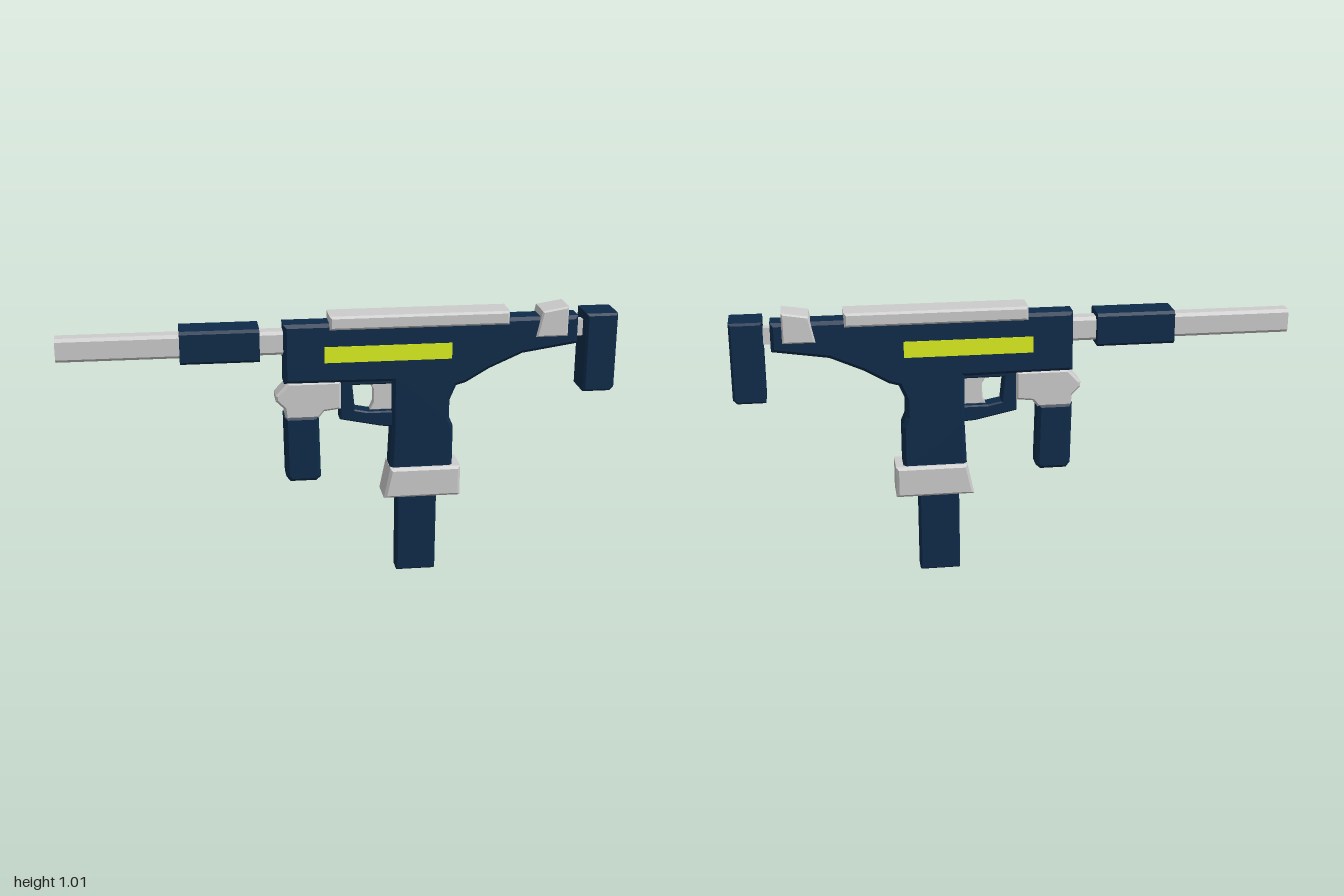
import * as THREE from 'three';

const material = (color) => new THREE.MeshStandardMaterial({ color, flatShading: true });
const toShape = (points) => new THREE.Shape(points.map(([x, y]) => new THREE.Vector2(x, y)));

// Rectangle outline with cut corners
const rect = (x0, x1, y0, y1, c = 0.01) => [
  [x0 + c, y0], [x1 - c, y0], [x1, y0 + c], [x1, y1 - c],
  [x1 - c, y1], [x0 + c, y1], [x0, y1 - c], [x0, y0 + c],
];

export function createModel() {
  const group = new THREE.Group();
  const navy = material(0x0e2b49);
  const grey = material(0xcccccc);
  const lime = material(0xdcf020);

  const add = (name, geometry, mat) => {
    const mesh = new THREE.Mesh(geometry, mat);
    mesh.name = name;
    group.add(mesh);
  };

  // Side outline thickened to z = +-half, with chamfered rims
  const plate = (name, points, half, mat, bevel = 0.01, hole) => {
    const shape = toShape(points);
    if (hole) shape.holes.push(toShape(hole));
    const geometry = new THREE.ExtrudeGeometry(shape, {
      depth: 2 * (half - bevel), bevelEnabled: bevel > 0, bevelSegments: 1,
      bevelSize: bevel, bevelThickness: bevel, bevelOffset: -bevel,
    });
    add(name, geometry.translate(0, 0, bevel - half), mat);
  };

  // Cut-corner tube running along x
  const sleeve = (name, x0, x1, y0, y1, half, wall, cut, mat) => {
    const shape = toShape(rect(-half, half, y0, y1, cut));
    if (wall) shape.holes.push(toShape(rect(wall - half, half - wall, y0 + wall, y1 - wall, cut * 0.7)));
    const geometry = new THREE.ExtrudeGeometry(shape, { depth: x1 - x0, bevelEnabled: false });
    add(name, geometry.rotateY(Math.PI / 2).translate(x0, 0, 0), mat);
  };

  // Barrel assembly
  sleeve('barrel', -1, -0.19, 0.86, 0.946, 0.033, 0.008, 0.011, grey);
  sleeve('barrelCore', -0.88, -0.19, 0.866, 0.94, 0.027, 0, 0.008, navy);
  sleeve('barrelSleeve', -0.57, -0.29, 0.845, 0.965, 0.063, 0, 0.01, navy);

  // Receiver with rear arm and main grip in one outline
  plate('body', [
    [-0.205, 0.755], [0.185, 0.75], [0.187, 0.57], [0.18, 0.4], [0.412, 0.4],
    [0.412, 0.57], [0.397, 0.605], [0.397, 0.67], [0.42, 0.725], [0.455, 0.735],
    [0.54, 0.785], [0.66, 0.838], [0.86, 0.868], [0.86, 0.972], [-0.205, 0.972],
  ], 0.047, navy, 0.012);
  plate('sidePanel', rect(-0.06, 0.4, 0.83, 0.889, 0), 0.049, lime, 0);
  plate('topRail', [
    [-0.042, 0.95], [0.605, 0.95], [0.605, 1], [-0.042, 1],
  ], 0.056, grey, 0.008);
  plate('rearSight', [
    [0.705, 0.9], [0.82, 0.9], [0.82, 1.01], [0.725, 0.995],
  ], 0.057, grey, 0.006);

  // Stock
  plate('stockLink', rect(0.84, 0.9, 0.89, 0.95, 0), 0.016, grey, 0);
  plate('stockPad', [
    [0.885, 0.69], [0.985, 0.69], [1, 0.705], [1, 0.982], [0.885, 0.982],
  ], 0.066, navy, 0.008);

  // Grip collar and magazine
  plate('gripCollar', [
    [0.157, 0.305], [0.44, 0.305], [0.44, 0.42], [0.18, 0.42],
  ], 0.065, grey, 0.01);
  plate('magazine', rect(0.21, 0.357, 0, 0.33, 0.003), 0.036, navy, 0.006);

  // Trigger and guard
  plate('triggerGuard', [
    [-0.003, 0.61], [0.15, 0.578], [0.2, 0.575], [0.2, 0.765], [-0.003, 0.765],
  ], 0.033, navy, 0.005, [
    [0.052, 0.645], [0.1, 0.635], [0.187, 0.635], [0.187, 0.738], [0.042, 0.738],
  ]);
  plate('trigger', [
    [0.108, 0.638], [0.195, 0.638], [0.195, 0.742], [0.105, 0.742], [0.12, 0.715], [0.12, 0.665],
  ], 0.02, grey, 0.003);

  // Front grip and its mount
  plate('frontGripMount', [
    [-0.2, 0.62], [-0.08, 0.62], [-0.06, 0.645], [0.0, 0.652], [0.0, 0.757],
    [-0.19, 0.757], [-0.235, 0.71], [-0.235, 0.69], [-0.205, 0.66],
  ], 0.041, grey, 0.008);
  plate('frontGrip', [
    [-0.185, 0.38], [-0.09, 0.38], [-0.073, 0.395], [-0.08, 0.63], [-0.205, 0.63], [-0.2, 0.4],
  ], 0.045, navy, 0.012);

  return group;
}
